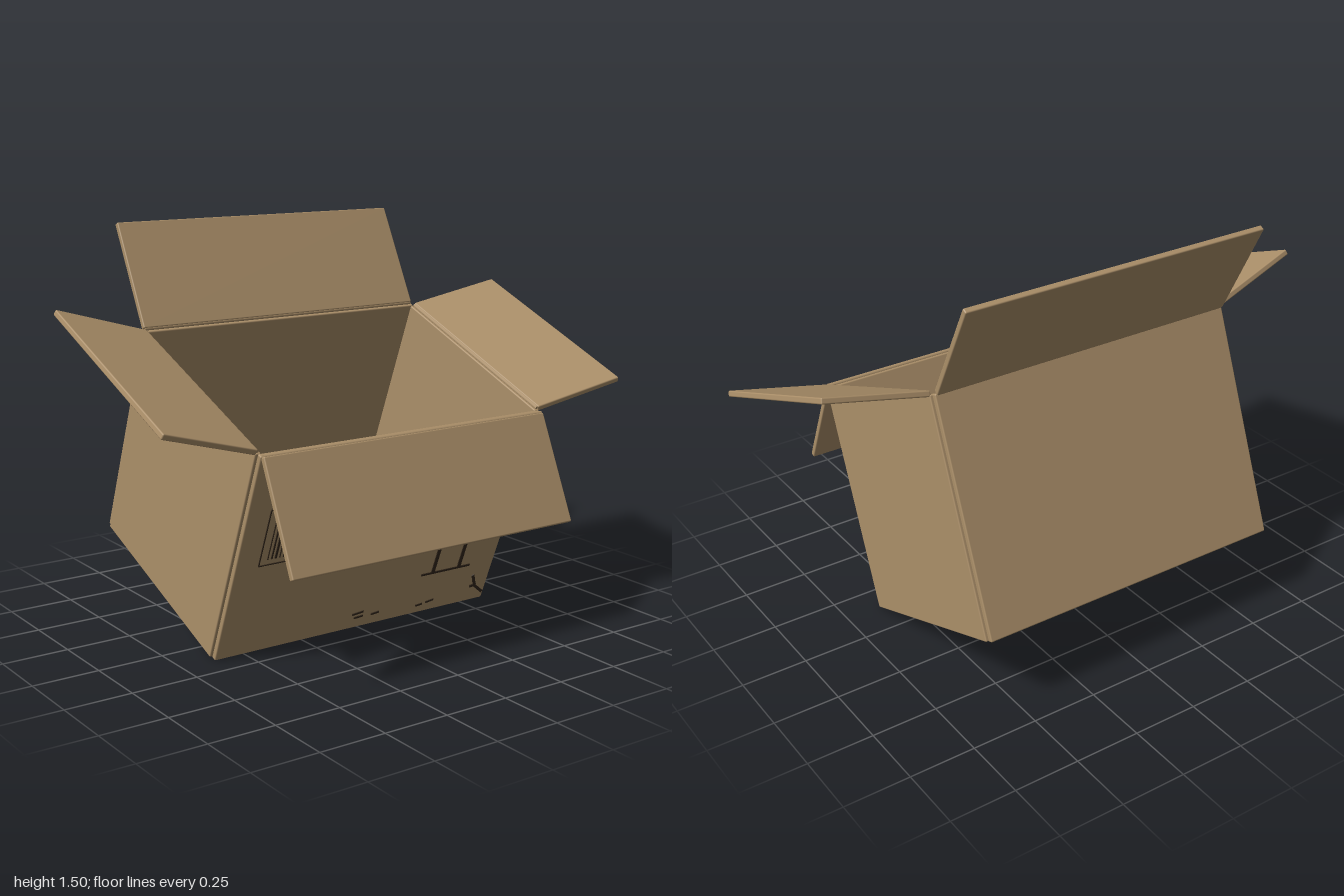
import * as THREE from 'three';
import { RoundedBoxGeometry } from 'three/addons/geometries/RoundedBoxGeometry.js';

const WIDTH = 1.23, HEIGHT = 0.87, DEPTH = 0.862, T = 0.022;

export function createModel() {
  const cardboard = new THREE.MeshStandardMaterial({ color: 0xab8f69 });
  cardboard.name = 'cardboard';
  const ink = new THREE.MeshStandardMaterial({ color: 0x33281c });
  ink.name = 'dark ink';

  const model = new THREE.Group();
  model.name = 'openCarton';

  // Whole carton leans forward, resting on its lower front edge
  const box = new THREE.Group();
  box.name = 'tiltedBox';
  box.position.set(-0.005, 0.005, 0.15);
  box.rotation.x = 0.38;
  model.add(box);

  function panel(parent, name, w, h, d, x, y, z) {
    const mesh = new THREE.Mesh(new RoundedBoxGeometry(w, h, d, 2, 0.005), cardboard);
    mesh.name = name;
    mesh.position.set(x, y, z);
    parent.add(mesh);
    return mesh;
  }

  // Walls and floor; the side walls sit between front and back, leaving corner notches
  const midZ = -DEPTH / 2;
  panel(box, 'frontWall', WIDTH, HEIGHT, T, 0, HEIGHT / 2, -T / 2);
  panel(box, 'backWall', WIDTH, HEIGHT, T, 0, HEIGHT / 2, -DEPTH + T / 2);
  for (const s of [-1, 1]) {
    panel(box, s > 0 ? 'leftWall' : 'rightWall', T + 0.002, HEIGHT - 0.002, DEPTH - 0.044,
      s * 0.612, HEIGHT / 2, midZ);
  }
  panel(box, 'floor', WIDTH - 0.02, T, DEPTH - 0.02, 0, T / 2 + 0.001, midZ);

  // Flap on a pivot at its fold: extends up before being rotated about its hinge axis
  function flap(name, length, span, x, y, z, axis, angle) {
    const pivot = new THREE.Group();
    pivot.name = name;
    pivot.position.set(x, y, z);
    pivot.rotation[axis] = angle;
    const alongX = axis === 'x';
    panel(pivot, name + 'Board', alongX ? span : T, length, alongX ? T : span, 0, length / 2, 0);
    const fold = new THREE.Mesh(new THREE.CylinderGeometry(0.009, 0.009, span - 0.01, 10), cardboard);
    fold.name = name + 'Fold';
    if (alongX) fold.rotation.z = Math.PI / 2;
    else fold.rotation.x = Math.PI / 2;
    pivot.add(fold);
    box.add(pivot);
  }
  flap('frontFlap', 0.415, 1.225, -0.002, 0.872, 0.005, 'x', 2.34);
  flap('backFlap', 0.415, 1.225, -0.002, 0.872, -DEPTH + 0.002, 'x', -0.853);
  flap('leftFlap', 0.392, 0.815, 0.617, 0.872, midZ, 'z', -1.365);
  flap('rightFlap', 0.392, 0.815, -0.617, 0.872, midZ, 'z', 1.265);

  // Printed marks on the front wall, as thin strokes
  const print = new THREE.Group();
  print.name = 'printedMarks';
  print.position.z = 0.001;
  box.add(print);
  function stroke(name, x1, y1, x2, y2, w = 0.009) {
    const mesh = new THREE.Mesh(
      new THREE.BoxGeometry(Math.hypot(x2 - x1, y2 - y1), w, 0.005), ink);
    mesh.name = name;
    mesh.position.set((x1 + x2) / 2, (y1 + y2) / 2, 0);
    mesh.rotation.z = Math.atan2(y2 - y1, x2 - x1);
    print.add(mesh);
  }

  // This-way-up arrows on a base line
  stroke('arrowBase', 0.255, 0.19, 0.492, 0.19);
  for (const x of [0.31, 0.437]) {
    stroke('arrowStem', x, 0.19, x, 0.345, 0.016);
    for (const s of [-1, 1]) stroke('arrowHead', x + s * 0.04, 0.31, x, 0.35, 0.012);
  }

  // Barcode panel: thin frame and bars
  const [l, r, b, t] = [-0.522, -0.122, 0.402, 0.64];
  stroke('labelFrame', l, b, r, b, 0.004);
  stroke('labelFrame', l, t, r, t, 0.004);
  stroke('labelFrame', l, b, l, t, 0.004);
  stroke('labelFrame', r, b, r, t, 0.004);
  for (let i = 0; i < 18; i++) {
    const x = -0.49 + i * 0.0165;
    stroke('barcodeBar', x, 0.425, x, 0.6, 0.003 + (i * 7 % 3) * 0.0025);
  }

  // Scuffed dashes and a worn mark near the bottom edge
  const dashes = [
    [-0.035, 0.068, 0.015, 0.074], [-0.022, 0.05, 0.018, 0.053], [0.057, 0.05, 0.092, 0.054],
    [0.272, 0.039, 0.303, 0.042], [0.318, 0.045, 0.355, 0.051],
  ];
  for (const d of dashes) stroke('scuff', ...d, 0.008);
  stroke('wornMark', 0.53, 0.13, 0.555, 0.075, 0.012);
  stroke('wornMark', 0.53, 0.074, 0.56, 0.078, 0.012);
  stroke('wornMark', 0.55, 0.078, 0.605, 0.033, 0.012);

  return model;
}
